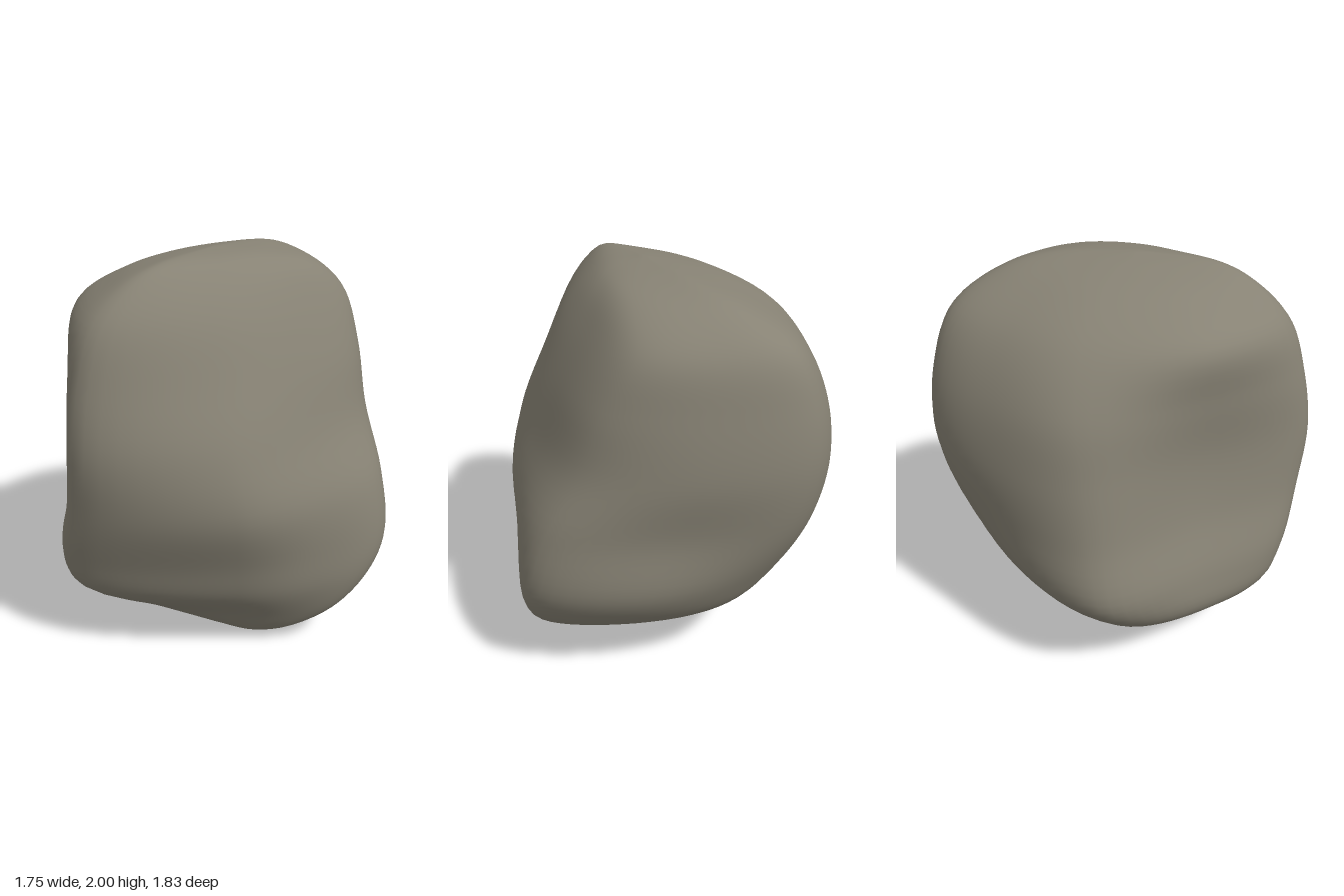
import * as THREE from 'three';

// Each level: height, five corners (left, front, front shoulder, right, back) as x,z pairs,
// then how far the left-front, right-back and back-left sides bulge outward.
const LEVELS = [
  [0.05, -0.12, 0.12, 0.10, 0.23, 0.36, 0.17, 0.48, 0.06, 0.14, -0.04, 0.04, 0.04, 0.03],
  [0.22, -0.52, 0.13, -0.08, 0.51, 0.42, 0.27, 0.73, -0.08, 0.05, -0.37, 0.09, 0.09, 0.06],
  [0.40, -0.74, 0.10, -0.19, 0.78, 0.49, 0.37, 0.84, -0.21, -0.06, -0.64, 0.10, 0.12, 0.12],
  [0.60, -0.87, 0.05, -0.18, 0.85, 0.52, 0.43, 0.87, -0.31, -0.16, -0.75, 0.05, 0.15, 0.14],
  [0.90, -0.83, 0.00, -0.08, 0.89, 0.57, 0.51, 0.80, -0.36, -0.25, -0.87, 0.02, 0.10, 0.13],
  [1.20, -0.79, -0.03, -0.03, 0.91, 0.51, 0.52, 0.64, -0.43, -0.30, -0.91, 0.02, 0.13, 0.12],
  [1.50, -0.73, -0.07, -0.03, 0.86, 0.42, 0.43, 0.55, -0.47, -0.28, -0.88, 0.09, 0.11, 0.09],
  [1.75, -0.57, -0.08, -0.02, 0.77, 0.33, 0.35, 0.43, -0.50, -0.20, -0.80, 0.19, 0.08, 0.06],
  [1.90, -0.33, -0.05, 0.01, 0.60, 0.24, 0.27, 0.34, -0.34, -0.06, -0.60, 0.12, 0.06, 0.05],
  [1.97, -0.11, 0.00, 0.04, 0.43, 0.17, 0.19, 0.22, -0.12, 0.03, -0.36, 0.04, 0.03, 0.03],
];
const BOTTOM = new THREE.Vector3(0.23, 0, 0.1);
const TOP = new THREE.Vector3(0.05, 2, 0.04);
const AROUND = 72, UP = 64;

// Smooth closed outline through the corners and bulged sides of one level
function outline([y, ...v]) {
  const points = [];
  for (let i = 0; i < 5; i++) {
    const k = (i + 1) % 5;
    const x = v[2 * i], z = v[2 * i + 1], dx = v[2 * k] - x, dz = v[2 * k + 1] - z;
    points.push(new THREE.Vector3(x, y, z));
    if (i === 1) continue; // the front to shoulder side has no bulge
    // the shoulder to right side bulges in proportion to its length
    const length = Math.hypot(dx, dz);
    const bulge = [v[10], 0, 0.08 * length, v[11], v[12]][i] / length;
    points.push(new THREE.Vector3(x + dx / 2 - dz * bulge, y, z + dz / 2 + dx * bulge));
  }
  const curve = new THREE.CatmullRomCurve3(points, true, 'centripetal');
  return Array.from({ length: AROUND }, (_, j) => curve.getPoint(j / AROUND));
}

// Skin made of columns that run from the bottom point over all outlines to the top
function boulderGeometry() {
  const rings = LEVELS.map(outline);
  const positions = [...BOTTOM.toArray()];
  const columns = [];
  for (let j = 0; j < AROUND; j++) {
    columns.push(new THREE.CatmullRomCurve3(
      [BOTTOM, ...rings.map((r) => r[j]), TOP], false, 'centripetal'));
  }
  for (let i = 1; i < UP; i++) {
    for (const c of columns) positions.push(...c.getPoint(i / UP).toArray());
  }
  positions.push(...TOP.toArray());

  const id = (i, j) => 1 + (i - 1) * AROUND + (j % AROUND);
  const last = positions.length / 3 - 1;
  const index = [];
  for (let j = 0; j < AROUND; j++) {
    index.push(0, id(1, j + 1), id(1, j));
    for (let i = 1; i < UP - 1; i++) {
      const a = id(i, j), b = id(i, j + 1), c = id(i + 1, j), d = id(i + 1, j + 1);
      index.push(a, b, d, a, d, c);
    }
    index.push(id(UP - 1, j), id(UP - 1, j + 1), last);
  }
  const geometry = new THREE.BufferGeometry();
  geometry.setAttribute('position', new THREE.Float32BufferAttribute(positions, 3));
  geometry.setIndex(index);
  geometry.computeVertexNormals();
  return geometry;
}

export function createModel() {
  const stone = new THREE.MeshStandardMaterial({ color: 0x878274 });
  stone.name = 'stone';
  const boulder = new THREE.Mesh(boulderGeometry(), stone);
  boulder.name = 'boulder';
  const group = new THREE.Group();
  group.name = 'rock';
  group.add(boulder);
  return group;
}
